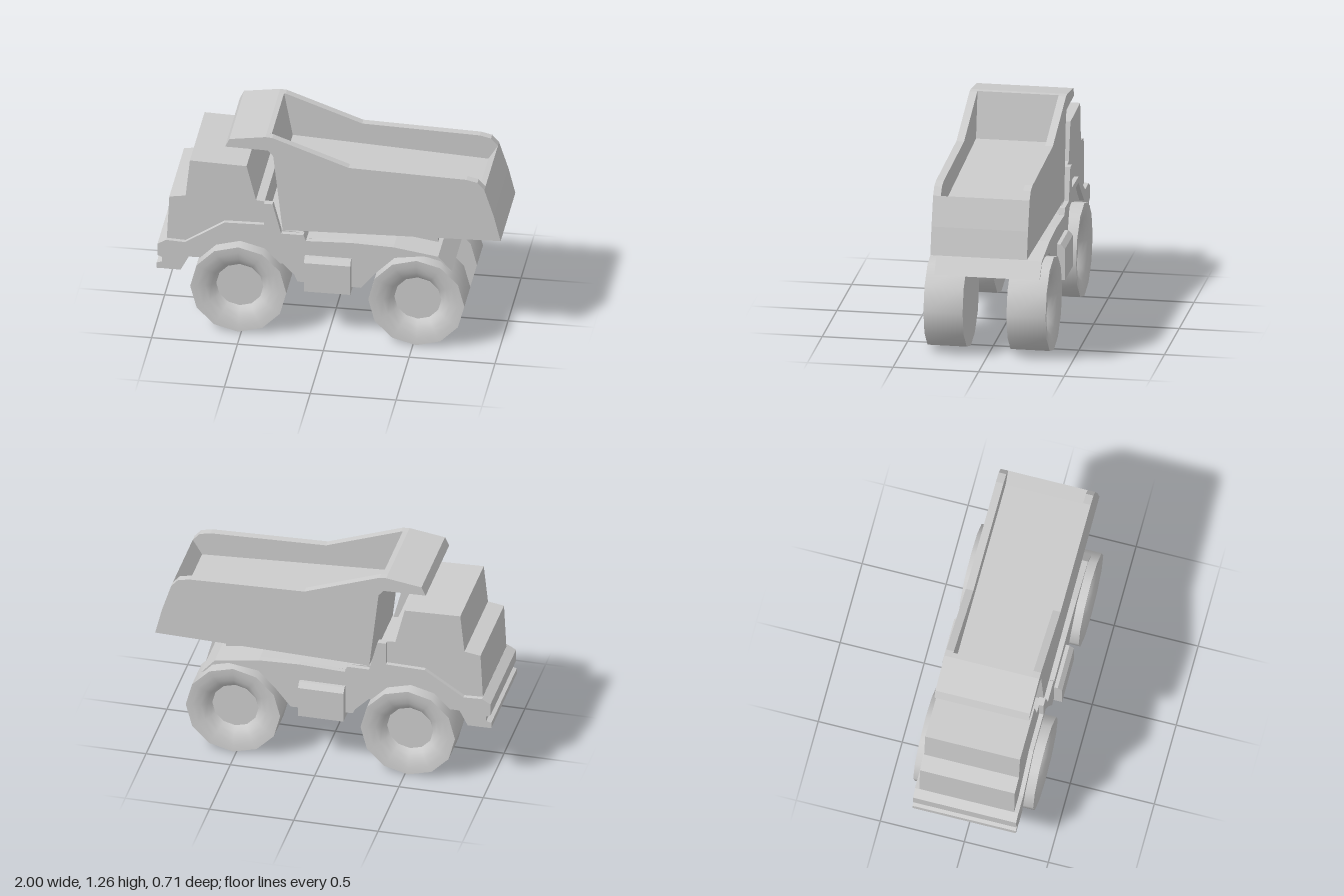
import * as THREE from 'three';
import { toCreasedNormals } from 'three/addons/utils/BufferGeometryUtils.js';

const material = new THREE.MeshStandardMaterial({ color: 0xcccccc });

export function createModel() {
  const model = new THREE.Group();
  model.name = 'dumpTruck';

  const add = (name, geometry) => {
    const mesh = new THREE.Mesh(geometry, material);
    mesh.name = name;
    model.add(mesh);
    return mesh;
  };
  // Side profile in x/y, extruded from z0 to z1
  const slab = (name, points, z0, z1) => {
    const shape = new THREE.Shape(points.map(([x, y]) => new THREE.Vector2(x, y)));
    const geometry = new THREE.ExtrudeGeometry(shape, { depth: z1 - z0, bevelEnabled: false });
    return add(name, geometry.translate(0, 0, z0));
  };
  const both = (name, points, inner, outer) => {
    slab(name + 'Left', points, inner, outer);
    slab(name + 'Right', points, -outer, -inner);
  };

  // Chassis core, arched over the axles with a belly between them
  slab('chassis', [
    [-0.95, 0.43], [-0.27, 0.43], [-0.17, 0.33], [0.19, 0.33], [0.27, 0.42],
    [0.72, 0.48], [0.64, 0.57], [0.38, 0.61], [-0.13, 0.61], [-0.15, 0.645],
    [-0.6, 0.68], [-0.95, 0.54],
  ], -0.28, 0.28);
  slab('belly', [[-0.13, 0.3], [0.13, 0.3], [0.17, 0.34], [-0.15, 0.34]], -0.2, 0.2);

  // Side plates: front fender, cab post, sill and rear fender
  both('sidePlate', [
    [-0.86, 0.355], [-0.79, 0.49], [-0.6, 0.655], [-0.32, 0.645], [-0.27, 0.55],
    [-0.18, 0.335], [0.19, 0.325], [0.275, 0.43], [0.38, 0.54], [0.55, 0.565],
    [0.64, 0.555], [0.7, 0.49], [0.72, 0.48], [0.64, 0.57], [0.38, 0.61],
    [0.14, 0.618], [-0.13, 0.608], [-0.145, 0.645], [-0.275, 0.645], [-0.325, 0.835],
    [-0.375, 0.835], [-0.375, 0.695], [-0.605, 0.69], [-0.835, 0.54], [-0.945, 0.545],
    [-0.945, 0.355],
  ], 0.27, 0.308);

  // Grooved bumper
  slab('bumper', [
    [-0.86, 0.355], [-0.835, 0.43], [-0.835, 0.54], [-0.945, 0.545], [-0.995, 0.515],
    [-0.995, 0.44], [-0.97, 0.43], [-0.97, 0.4], [-1, 0.39], [-1, 0.355],
  ], -0.307, 0.307);

  // Cab with hood step
  slab('cab', [
    [-0.945, 0.53], [-0.93, 0.82], [-0.835, 0.835], [-0.81, 1.07], [-0.48, 1.06],
    [-0.425, 0.84], [-0.375, 0.835], [-0.375, 0.6], [-0.6, 0.6], [-0.8, 0.53],
  ], -0.282, 0.282);

  // Dump bed: two walls around a middle section holding the load floor
  const underside = [
    [1, 0.69], [-0.27, 0.655], [-0.325, 1.14], [-0.355, 1.175], [-0.605, 1.18],
    [-0.58, 1.232], [-0.37, 1.263],
  ];
  both('bedWall', [
    ...underside, [-0.33, 1.26], [0.115, 1.1], [0.8, 1.08], [0.865, 1.065],
    [0.905, 1.02], [0.96, 0.85],
  ], 0.237, 0.282);
  slab('bedFloor', [
    ...underside, [-0.34, 1.262], [-0.29, 0.99], [0.85, 0.93], [0.905, 1.02], [0.96, 0.85],
  ], -0.237, 0.237);

  // Bed hinge block
  slab('hingeBlock', [[0.385, 0.55], [0.615, 0.55], [0.615, 0.685], [0.385, 0.685]], -0.145, 0.145);

  // Side tanks with chamfered top edge
  const tank = new THREE.Shape([[0.25, 0.3], [0.356, 0.3], [0.356, 0.488], [0.33, 0.515], [0.25, 0.515]]
    .map(([z, y]) => new THREE.Vector2(z, y)));
  for (const side of [1, -1]) {
    const geometry = new THREE.ExtrudeGeometry(tank, { depth: 0.27, bevelEnabled: false });
    geometry.translate(0, 0, -0.135).rotateY(-Math.PI / 2);
    if (side < 0) geometry.rotateY(Math.PI);
    add(side > 0 ? 'tankLeft' : 'tankRight', geometry);
  }

  // Twelve-sided wheels with a dished outer face
  const profile = [
    [0, 0.128], [0.28, 0.128], [0.28, 0.357], [0.24, 0.354], [0.195, 0.343],
    [0.16, 0.325], [0.137, 0.298], [0, 0.298],
  ].map(([r, z]) => new THREE.Vector2(r, z));
  const wheel = toCreasedNormals(new THREE.LatheGeometry(profile, 12), 0.62);
  for (const [end, x] of [['front', -0.517], ['rear', 0.52]]) {
    for (const side of [1, -1]) {
      const mesh = add(end + 'Wheel' + (side > 0 ? 'Left' : 'Right'), wheel);
      mesh.position.set(x, 0.28, 0);
      mesh.rotation.x = side * Math.PI / 2;
    }
  }

  return model;
}
